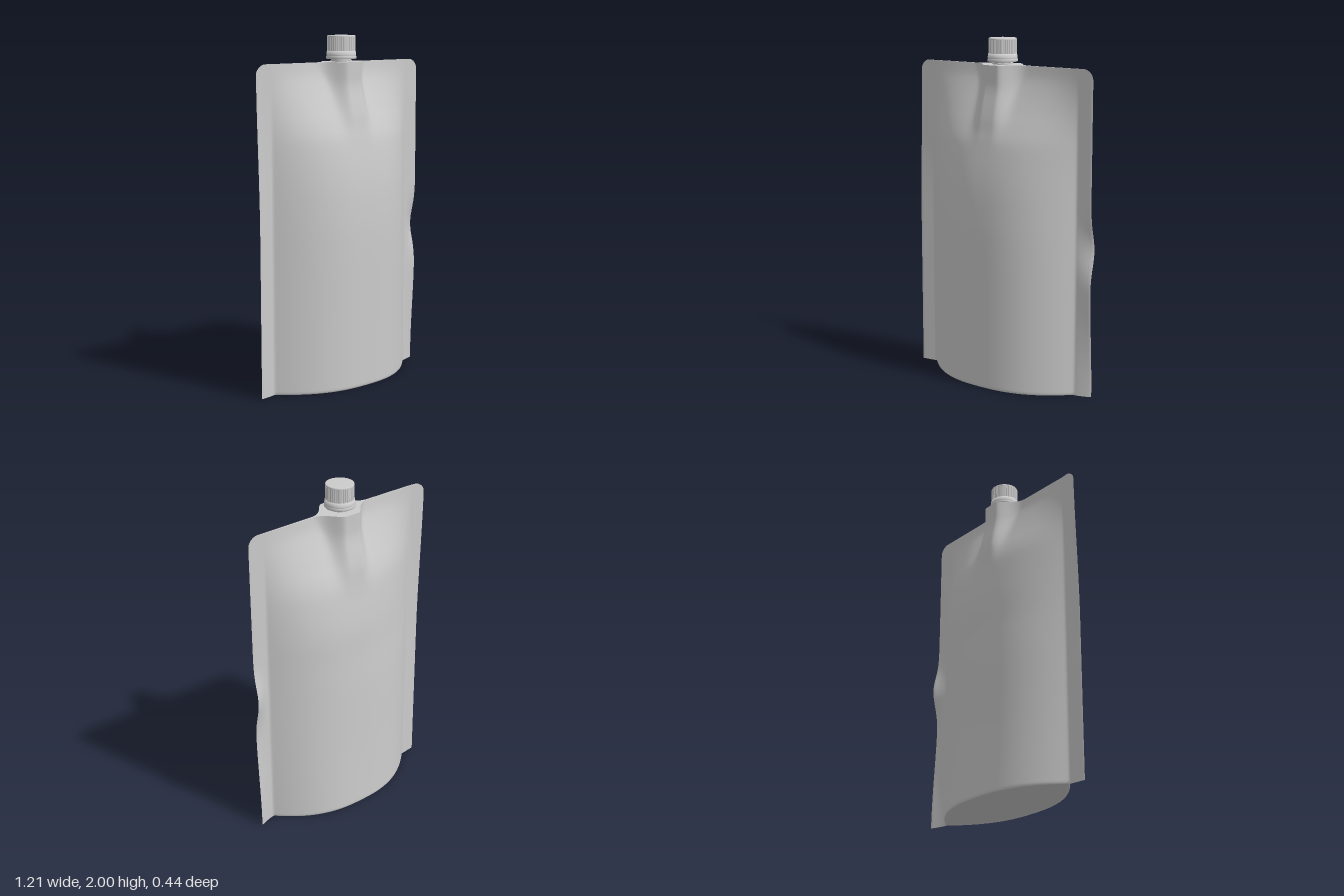
import * as THREE from 'three';

const H = 1.852, W = 0.607, SEAM = 0.512, CORNER = 0.065;
const { clamp, smoothstep, lerp } = THREE.MathUtils;

// half depth of the filled body along its height: [y, front, back]
const DEPTH = [
  [0, 0.218, 0.214], [0.4, 0.219, 0.2], [0.8, 0.22, 0.19], [1.0, 0.216, 0.182], [1.2, 0.202, 0.175],
  [1.4, 0.17, 0.152], [1.5, 0.136, 0.127], [1.6, 0.09, 0.086], [1.7, 0.045, 0.044], [1.78, 0.015, 0.015],
  [H, 0.002, 0.002],
];
const curves = [1, 2].map(k => new THREE.SplineCurve(DEPTH.map(d => new THREE.Vector2(d[0], d[k]))).getPoints(180));

function bodyDepth(y, back) {
  const pts = curves[back ? 1 : 0];
  let i = 1;
  while (i < pts.length - 1 && pts[i].x < y) i++;
  const a = pts[i - 1], b = pts[i];
  return lerp(a.y, b.y, clamp((y - a.x) / (b.x - a.x), 0, 1));
}

// distance of a film from the middle plane: pillow plus the sleeve round the spout
function halfDepth(x, y, back) {
  const ax = Math.abs(x);
  const arch = Math.max(0, 1 - Math.pow(ax / SEAM, 2.5));
  const lens = 1.015 * arch * arch / (arch + 0.015);
  // the back is a little fuller on one side at mid height
  const skew = back ? 1 + 0.2 * x * Math.exp(-(((y - 1.2) / 0.3) ** 2)) : 1;
  const pillow = Math.max(0, bodyDepth(y, back)) * lens * skew;
  // the sleeve widens slightly and fades downwards
  const width = lerp(0.1, 0.073, smoothstep(y, 1.4, 1.84));
  const spread = Math.max(0, ax - 0.04) / width;
  const height = lerp(0.12, 0.107, smoothstep(y, 1.6, 1.75)) * smoothstep(y, 1.25, 1.58);
  const sleeve = height * Math.exp(-Math.pow(spread, 1.9));
  let d = Math.cbrt(pillow ** 3 + sleeve ** 3);
  const r = 0.018;
  if (y < r) d -= Math.min(d, (r - Math.sqrt(r * r - (r - y) ** 2)) * 0.4);
  return d + (ax < W - 0.002 ? 0.002 : 0);
}

// the side fins curl a little out of the middle plane
function finWarp(x, y) {
  const t = clamp((Math.abs(x) - SEAM) / (W - SEAM), 0, 1);
  if (x > 0) {
    const curl = 0.038 * Math.exp(-(((y - 0.85) / 0.13) ** 2));
    return -Math.pow(t, 1.3) * (curl + 0.028 * (1 - smoothstep(y, 0, 0.7)));
  }
  return t * (0.012 - 0.022 * smoothstep(y, 0.9, H));
}

function halfWidth(y) {
  const k = Math.max(0, y - (H - CORNER));
  return W - CORNER + Math.sqrt(Math.max(0, CORNER * CORNER - k * k));
}

// indexed grid from a rule (u, v in 0..1) => [x, y, z]
function gridGeometry(nu, nv, rule) {
  const pos = [], index = [];
  for (let j = 0; j <= nv; j++) {
    for (let i = 0; i <= nu; i++) pos.push(...rule(i / nu, j / nv));
  }
  for (let j = 0; j < nv; j++) {
    for (let i = 0; i < nu; i++) {
      const a = j * (nu + 1) + i, b = a + 1, c = a + nu + 1, d = c + 1;
      index.push(a, b, d, a, d, c);
    }
  }
  const g = new THREE.BufferGeometry();
  g.setAttribute('position', new THREE.Float32BufferAttribute(pos, 3));
  g.setIndex(index);
  g.computeVertexNormals();
  return g;
}

export function createModel() {
  const group = new THREE.Group();
  const grey = new THREE.MeshStandardMaterial({ color: 0xcccccc });
  const film = new THREE.MeshStandardMaterial({ color: 0xcccccc, side: THREE.DoubleSide });
  const add = (name, geometry, material = grey, y = 0) => {
    const mesh = new THREE.Mesh(geometry, material);
    mesh.name = name;
    mesh.position.y = y;
    group.add(mesh);
  };
  const lathe = points => new THREE.LatheGeometry(points.map(p => new THREE.Vector2(...p)), 48);
  const NU = 160, NV = 90;

  // front and back films, rows packed towards the top and bottom edges
  for (const back of [false, true]) {
    const s = back ? -1 : 1;
    add(back ? 'backFilm' : 'frontFilm', gridGeometry(NU, NV, (u, v) => {
      const y = H * (1 - Math.cos(Math.PI * v)) / 2;
      const x = s * (2 * u - 1) * halfWidth(y);
      return [x, y, s * halfDepth(x, y, back) + finWarp(x, y)];
    }), film);
  }

  // top closure between the two films
  add('topSeal', gridGeometry(NU, 4, (u, v) => {
    const x = (2 * u - 1) * halfWidth(H);
    return [x, H, lerp(halfDepth(x, H, false), -halfDepth(x, H, true), v) + finWarp(x, H)];
  }), film);

  // bottom gusset, slightly domed inwards
  add('bottomGusset', gridGeometry(NU, 16, (u, v) => {
    const x = (2 * u - 1) * W;
    const f = halfDepth(x, 0, false), b = -halfDepth(x, 0, true);
    const rise = 0.03 * 4 * v * (1 - v) * Math.max(0, 1 - (x / SEAM) ** 2);
    return [x, rise, lerp(b, f, v) + finWarp(x, 0)];
  }), film);

  // spout neck with a thin collar
  add('spoutNeck', new THREE.CylinderGeometry(0.055, 0.055, 0.05, 40), grey, 1.86);
  add('spoutCollar', new THREE.CylinderGeometry(0.06, 0.06, 0.006, 40), grey, 1.858);

  // flared tamper ring under the cap
  add('capRing', lathe([[0.05, 1.868], [0.084, 1.868], [0.087, 1.872], [0.086, 1.882],
    [0.0835, 1.884], [0.0835, 1.888], [0.085, 1.89], [0.081, 1.913], [0.05, 1.913]]), film);

  // ribbed cap
  const RIBS = 40, outline = [];
  for (let i = 0; i < RIBS; i++) {
    [[0, 0.0775], [0.2, 0.0775], [0.3, 0.0795], [0.9, 0.0795]].forEach(([o, r]) => {
      const a = (i + o) / RIBS * Math.PI * 2;
      outline.push(new THREE.Vector2(r * Math.cos(a), r * Math.sin(a)));
    });
  }
  const cap = new THREE.ExtrudeGeometry(new THREE.Shape(outline), { depth: 0.081, bevelEnabled: false });
  cap.rotateX(-Math.PI / 2);
  add('cap', cap, grey, 1.911);

  // smooth lid with a small rounded edge
  add('capLid', lathe([[0.0795, 1.991], [0.0795, 1.995], [0.078, 1.9985], [0.075, 2.0], [0, 2.0]]), film);

  return group;
}
